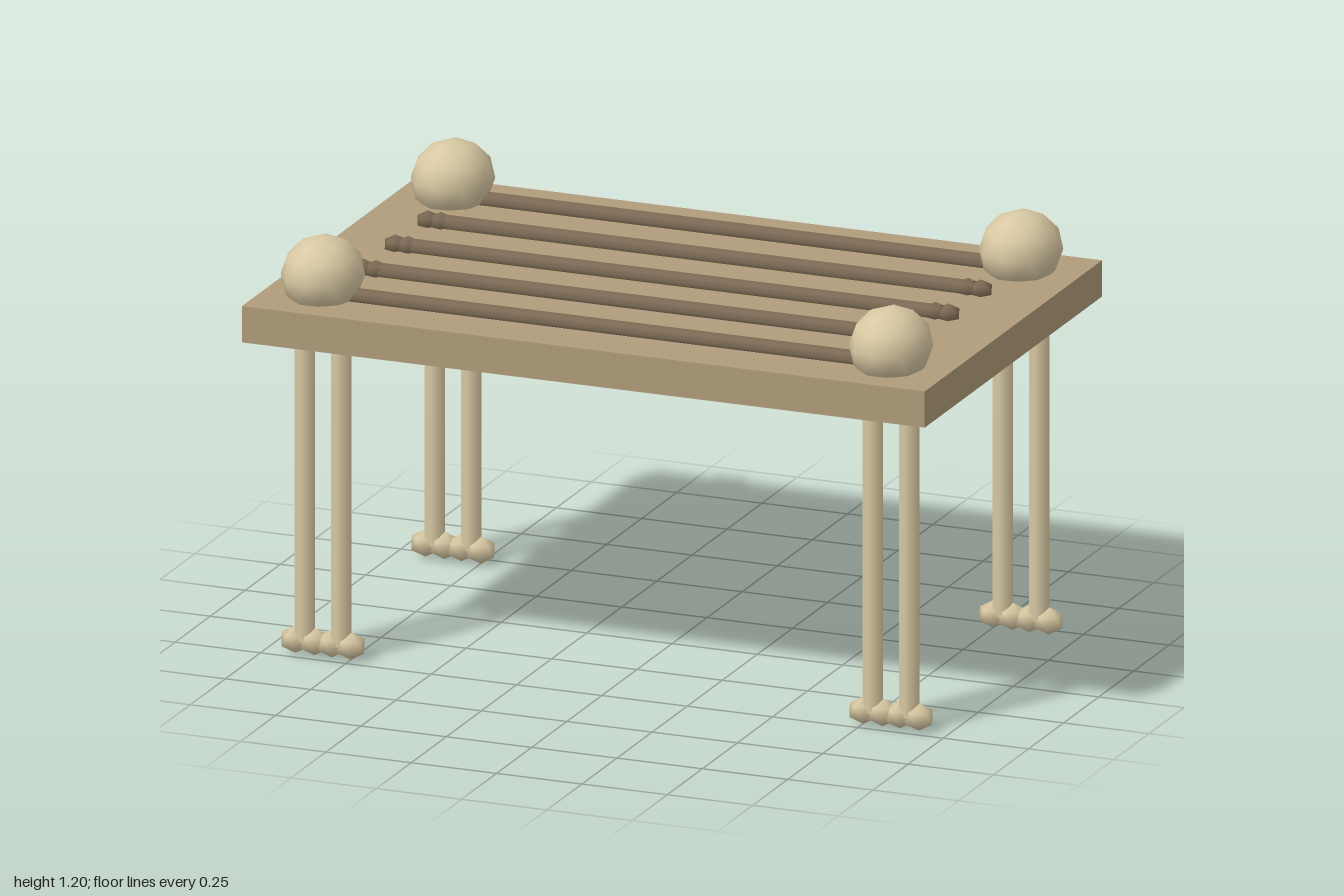
import * as THREE from 'three';

const bone = new THREE.MeshStandardMaterial({ color: 0xd9c9a3 });
const slab = new THREE.MeshStandardMaterial({ color: 0xb09c7a });
const dark = new THREE.MeshStandardMaterial({ color: 0x7d6a55 });

// Low-poly ball with a vertex at its pole and smooth normals
function ballGeometry(detail) {
  const g = new THREE.IcosahedronGeometry(1, detail);
  g.rotateZ(Math.atan(2 / (1 + Math.sqrt(5))));
  g.setAttribute('normal', g.getAttribute('position').clone());
  return g;
}

function add(parent, name, geometry, material, x, y, z) {
  const mesh = new THREE.Mesh(geometry, material);
  mesh.name = name;
  mesh.position.set(x, y, z);
  parent.add(mesh);
  return mesh;
}

export function createModel() {
  const table = new THREE.Group();
  table.name = 'boneTable';
  const knob = ballGeometry(0);
  const ball = ballGeometry(1);
  const legShaft = new THREE.CylinderGeometry(0.03, 0.03, 0.87, 8);
  const rodShaft = new THREE.CylinderGeometry(0.024, 0.024, 1.58, 8).rotateZ(Math.PI / 2);

  add(table, 'tableTop', new THREE.BoxGeometry(2, 0.103, 1.264), slab, 0, 0.9735, 0);

  // Each corner: a pair of bone legs below and a large ball above
  for (const sx of [-1, 1]) {
    for (const sz of [-1, 1]) {
      const corner = new THREE.Group();
      corner.name = 'corner';
      corner.position.set(sx * 0.832, 0, sz * 0.463);
      table.add(corner);
      for (const dx of [-0.053, 0.053]) {
        const leg = new THREE.Group();
        leg.name = 'legBone';
        leg.position.x = dx;
        corner.add(leg);
        add(leg, 'legShaft', legShaft, bone, 0, 0.475, 0);
        for (const y of [0.039, 0.911]) {
          for (const kx of [-0.028, 0.028]) {
            add(leg, 'legKnob', knob, bone, kx, y, 0).scale.set(0.044, 0.039, 0.043);
          }
        }
      }
      add(corner, 'cornerBall', ball, bone, 0, 1.088, 0).scale.set(0.113, 0.109, 0.13);
    }
  }

  // Dark bones lying along the top
  for (let i = -2; i <= 2; i++) {
    const rod = new THREE.Group();
    rod.name = 'topBone';
    rod.position.set(0, 1.036, i * 0.232);
    table.add(rod);
    add(rod, 'rodShaft', rodShaft, dark, 0, 0, 0);
    for (const s of [-1, 1]) {
      for (const x of [0.772, 0.81]) {
        add(rod, 'rodKnob', knob, dark, s * x, 0, 0).scale.set(0.034, 0.03, 0.033);
      }
    }
  }
  return table;
}
